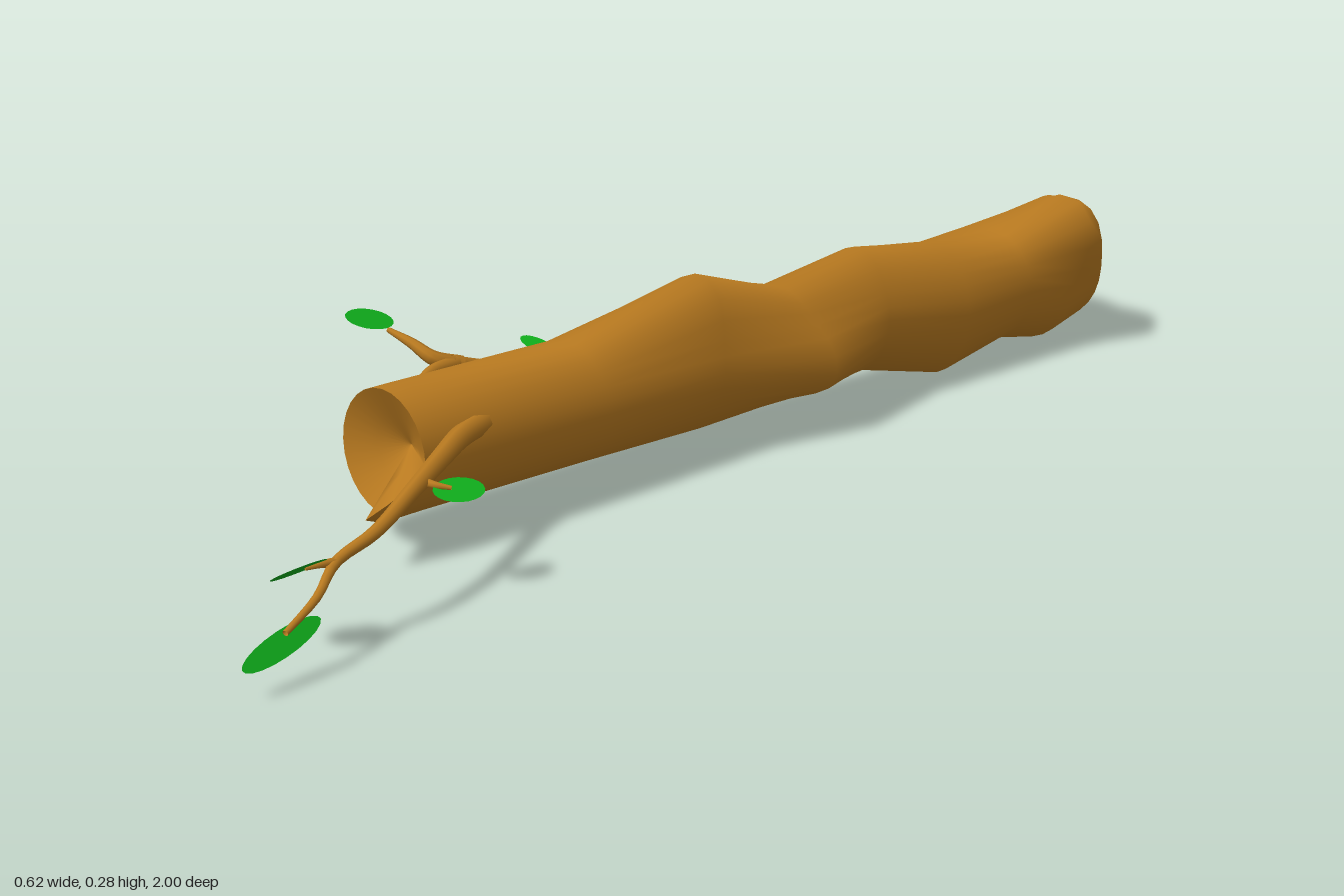
import * as THREE from 'three';

const wood = new THREE.MeshStandardMaterial({ color: 0xb97a20, side: THREE.DoubleSide });
const leafGreen = new THREE.MeshStandardMaterial({ color: 0x10b01c, side: THREE.DoubleSide });
const SIDES = 28;
const rad = THREE.MathUtils.degToRad;

// Smooth skin through closed rings; each ring is a function angle -> [x, y, z]
function loft(name, rings) {
  const pos = [], idx = [];
  rings.forEach((ring) => {
    for (let j = 0; j < SIDES; j++) pos.push(...ring((j / SIDES) * Math.PI * 2));
  });
  for (let i = 0; i < rings.length - 1; i++) {
    for (let j = 0; j < SIDES; j++) {
      const k = (j + 1) % SIDES;
      const a = i * SIDES + j, b = i * SIDES + k, c = a + SIDES, d = b + SIDES;
      idx.push(a, c, b, b, c, d);
    }
  }
  const g = new THREE.BufferGeometry();
  g.setAttribute('position', new THREE.Float32BufferAttribute(pos, 3));
  g.setIndex(idx);
  g.computeVertexNormals();
  const mesh = new THREE.Mesh(g, wood);
  mesh.name = name;
  return mesh;
}

// Oval trunk section with a knot pushed out at one angle and an optional jagged rim
function section([z, x0, x1, y0, y1, knotAngle = 0, knot = 0], rim = () => 0) {
  return (t) => {
    const push = knot * Math.pow(Math.max(0, Math.cos(t - rad(knotAngle))), 7);
    return [
      (x0 + x1) / 2 + ((x1 - x0) / 2 + push) * Math.cos(t),
      (y0 + y1) / 2 + ((y1 - y0) / 2 + push) * Math.sin(t),
      z + rim(t),
    ];
  };
}

// Ring pulled towards a hollow centre point
const inward = (ring, centre, f) => (t) =>
  ring(t).map((v, i) => THREE.MathUtils.lerp(v, centre[i], f));

// Tapered tube along a curve
function branch(name, points, r0, r1) {
  const curve = new THREE.CatmullRomCurve3(points.map((p) => new THREE.Vector3(...p)));
  const rows = points.length * 4, radial = 8;
  const g = new THREE.TubeGeometry(curve, rows, r0, radial);
  const p = g.attributes.position, v = new THREE.Vector3();
  for (let i = 0; i < p.count; i++) {
    const u = Math.floor(i / (radial + 1)) / rows;
    const c = curve.getPointAt(u);
    v.fromBufferAttribute(p, i).sub(c).multiplyScalar(1 + (r1 / r0 - 1) * u).add(c);
    p.setXYZ(i, v.x, v.y, v.z);
  }
  const mesh = new THREE.Mesh(g, wood);
  mesh.name = name;
  return mesh;
}

// Flat oval leaf from its centre and two half axes
function leaf(centre, long, wide) {
  const l = new THREE.Vector3(...long), w = new THREE.Vector3(...wide);
  const n = l.clone().cross(w).normalize();
  const g = new THREE.CircleGeometry(1, 20);
  g.applyMatrix4(new THREE.Matrix4().makeBasis(l, w, n).setPosition(...centre));
  const mesh = new THREE.Mesh(g, leafGreen);
  mesh.name = 'leaf';
  return mesh;
}

export function createModel() {
  const model = new THREE.Group();
  model.name = 'brokenLog';

  // Trunk: z, x range, y range, knot angle, knot height
  const sections = [
    [0.54, -0.065, 0.107, 0.05, 0.23],
    [0.2, -0.07, 0.107, 0.045, 0.225],
    [-0.04, -0.08, 0.103, 0.035, 0.25, 65, 0.04],
    [-0.24, -0.065, 0.105, 0.045, 0.22, -12, 0.042],
    [-0.41, -0.052, 0.1, 0.05, 0.24, 80, 0.01],
    [-0.6, -0.065, 0.105, 0.012, 0.22, -80, 0.008],
    [-0.75, -0.083, 0.11, 0.03, 0.22],
    [-0.86, -0.09, 0.11, 0.008, 0.225, 47, 0.075],
    [-0.93, -0.087, 0.115, 0.03, 0.235, 50, 0.02],
  ];
  // Splinter left on the front rim, and the long torn lip at the back
  const splinter = (t) => 0.09 * Math.max(0, 1 - Math.abs(Math.atan2(
    Math.sin(t + rad(38.6)), Math.cos(t + rad(38.6)))) / rad(36));
  const lip = (t) => -0.07 * Math.pow(Math.max(0, -Math.cos(t)), 1.2);

  const last = sections.length - 1;
  const rings = sections.map((s, i) =>
    section(s, i === 0 ? splinter : i === last ? lip : undefined));
  // Plain ring behind the splinter keeps it short
  const body = [rings[0], section([0.5, ...sections[0].slice(1)]), ...rings.slice(1)];
  model.add(loft('trunk', body));

  // Hollow broken ends
  const front = [0.02, 0.14, 0.49], back = [0.03, 0.13, -0.87];
  model.add(loft('frontBreak', [1, 0.5, 0].map((f) => inward(rings[0], front, f))));
  model.add(loft('backBreak', [0, 0.45, 1].map((f) => inward(rings[last], back, f))));

  // Left branch with a twig and three leaves
  const left = new THREE.Group();
  left.name = 'leftBranch';
  left.add(
    branch('leftStem', [[0.085, 0.17, 0.42], [0.11, 0.17, 0.48], [0.15, 0.166, 0.55],
      [0.2, 0.158, 0.64], [0.24, 0.135, 0.74], [0.25, 0.118, 0.81], [0.28, 0.095, 0.865],
      [0.3, 0.073, 0.93]], 0.017, 0.004),
    branch('leftTwig', [[0.185, 0.16, 0.615], [0.205, 0.158, 0.61], [0.222, 0.154, 0.595]], 0.007, 0.003),
    branch('leftLeafStalk', [[0.25, 0.118, 0.81], [0.247, 0.12, 0.83], [0.24, 0.118, 0.85]], 0.007, 0.003),
    leaf([0.225, 0.15, 0.585], [0.008, 0, -0.035], [0.019, -0.011, 0]),
    leaf([0.237, 0.117, 0.858], [0, 0, 0.037], [0.033, 0.02, 0]),
    leaf([0.299, 0.06, 0.935], [0.006, -0.013, 0.065], [0.009, -0.014, 0]),
  );
  model.add(left);

  // Right branch, forked, with two leaves
  const right = new THREE.Group();
  right.name = 'rightBranch';
  right.add(
    branch('rightStem', [[-0.05, 0.14, 0.03], [-0.08, 0.132, 0.05], [-0.12, 0.118, 0.08],
      [-0.165, 0.12, 0.125], [-0.185, 0.135, 0.18], [-0.187, 0.155, 0.24]], 0.018, 0.013),
    branch('rightForkOuter', [[-0.185, 0.148, 0.22], [-0.2, 0.165, 0.26], [-0.235, 0.182, 0.27],
      [-0.282, 0.194, 0.275]], 0.015, 0.004),
    branch('rightForkInner', [[-0.187, 0.152, 0.23], [-0.178, 0.154, 0.28], [-0.158, 0.147, 0.33],
      [-0.135, 0.139, 0.39]], 0.014, 0.001),
    branch('rightTwig', [[-0.125, 0.12, 0.085], [-0.15, 0.126, 0.065], [-0.18, 0.131, 0.05]], 0.006, 0.003),
    leaf([-0.204, 0.137, 0.045], [0.038, -0.008, 0], [0, 0, 0.02]),
    leaf([-0.292, 0.214, 0.302], [-0.01, 0.008, 0.037], [0.014, -0.012, 0.004]),
  );
  model.add(right);

  return model;
}
